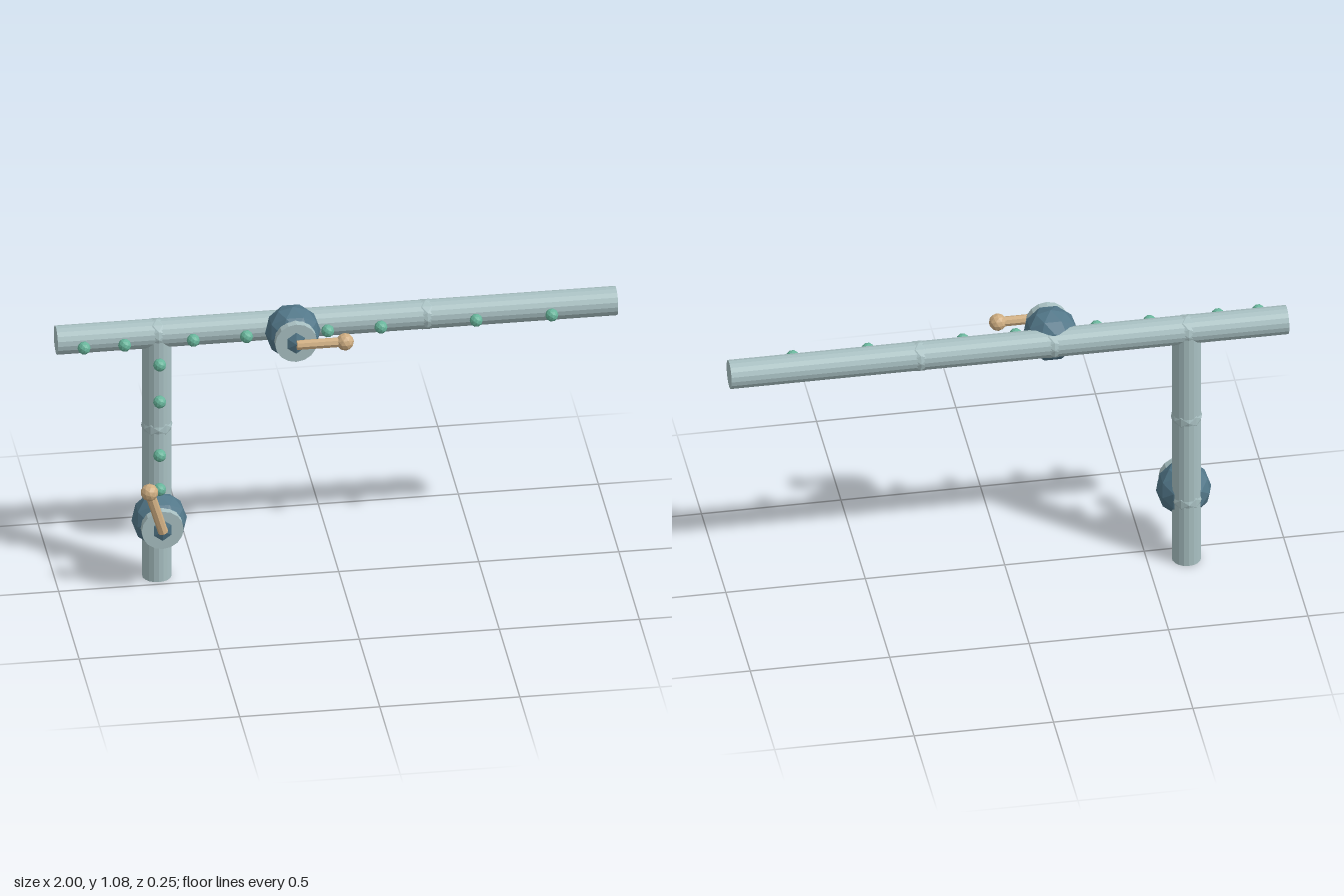
import * as THREE from 'three';

const flat = (name, color) => {
  const m = new THREE.MeshStandardMaterial({ color, flatShading: true });
  m.name = name;
  return m;
};

export function createModel() {
  const model = new THREE.Group();
  model.name = 'pipework';
  const steel = flat('pale steel', 0xa9c1c3);
  const blue = flat('slate blue', 0x527789);
  const tan = flat('tan', 0xcfae82);
  const green = flat('sea green', 0x68b59b);

  const PIPE_Z = -0.067, PIPE_R = 0.052, TOP_Y = 0.977, POST_X = -0.64;

  const add = (parent, name, geometry, material, x, y, z) => {
    const mesh = new THREE.Mesh(geometry, material);
    mesh.name = name;
    mesh.position.set(x, y, z);
    parent.add(mesh);
    return mesh;
  };
  const ball = (parent, name, r, material, x, y, z) =>
    add(parent, name, new THREE.IcosahedronGeometry(r, 1), material, x, y, z);

  // Pipes: a long horizontal run on one upright
  add(model, 'horizontalPipe', new THREE.CylinderGeometry(PIPE_R, PIPE_R, 2, 18), steel, 0, TOP_Y, PIPE_Z)
    .rotation.z = Math.PI / 2;
  add(model, 'uprightPipe', new THREE.CylinderGeometry(PIPE_R, PIPE_R, TOP_Y, 18), steel, POST_X, TOP_Y / 2, PIPE_Z);

  // Faceted joints that barely break the pipe surface
  for (const [x, y] of [[POST_X, 0.26], [POST_X, 0.61], [POST_X, TOP_Y], [-0.16, TOP_Y], [0.32, TOP_Y]]) {
    ball(model, 'pipeJoint', 0.056, steel, x, y, PIPE_Z);
  }

  // Beads along the front of both pipes
  for (const x of [-0.91, -0.765, -0.52, -0.33, -0.04, 0.15, 0.49, 0.76]) {
    ball(model, 'bead', 0.0235, green, x, TOP_Y, 0.005);
  }
  for (const y of [0.887, 0.738, 0.522, 0.385]) {
    ball(model, 'bead', 0.0235, green, POST_X, y, 0.005);
  }

  // Valves: faceted body, front collar and a lever with a knob
  const valve = (x, y, angle) => {
    const group = new THREE.Group();
    group.name = 'valve';
    group.position.set(x, y, 0);
    model.add(group);
    ball(group, 'valveBody', 0.099, blue, 0, 0, -0.008);
    add(group, 'valveCollar', new THREE.CylinderGeometry(0.075, 0.075, 0.03, 16), steel, 0, 0, 0.064)
      .rotation.x = Math.PI / 2;

    const lever = new THREE.Group();
    lever.name = 'lever';
    lever.position.z = 0.093;
    lever.rotation.z = angle;
    group.add(lever);
    add(lever, 'leverArm', new THREE.CylinderGeometry(0.018, 0.018, 0.172, 8), tan, 0, 0.086, 0);
    ball(lever, 'leverKnob', 0.0315, tan, 0, 0.172, 0);
  };
  valve(POST_X, 0.26, 0.29);
  valve(-0.163, TOP_Y, -Math.PI / 2);

  return model;
}
